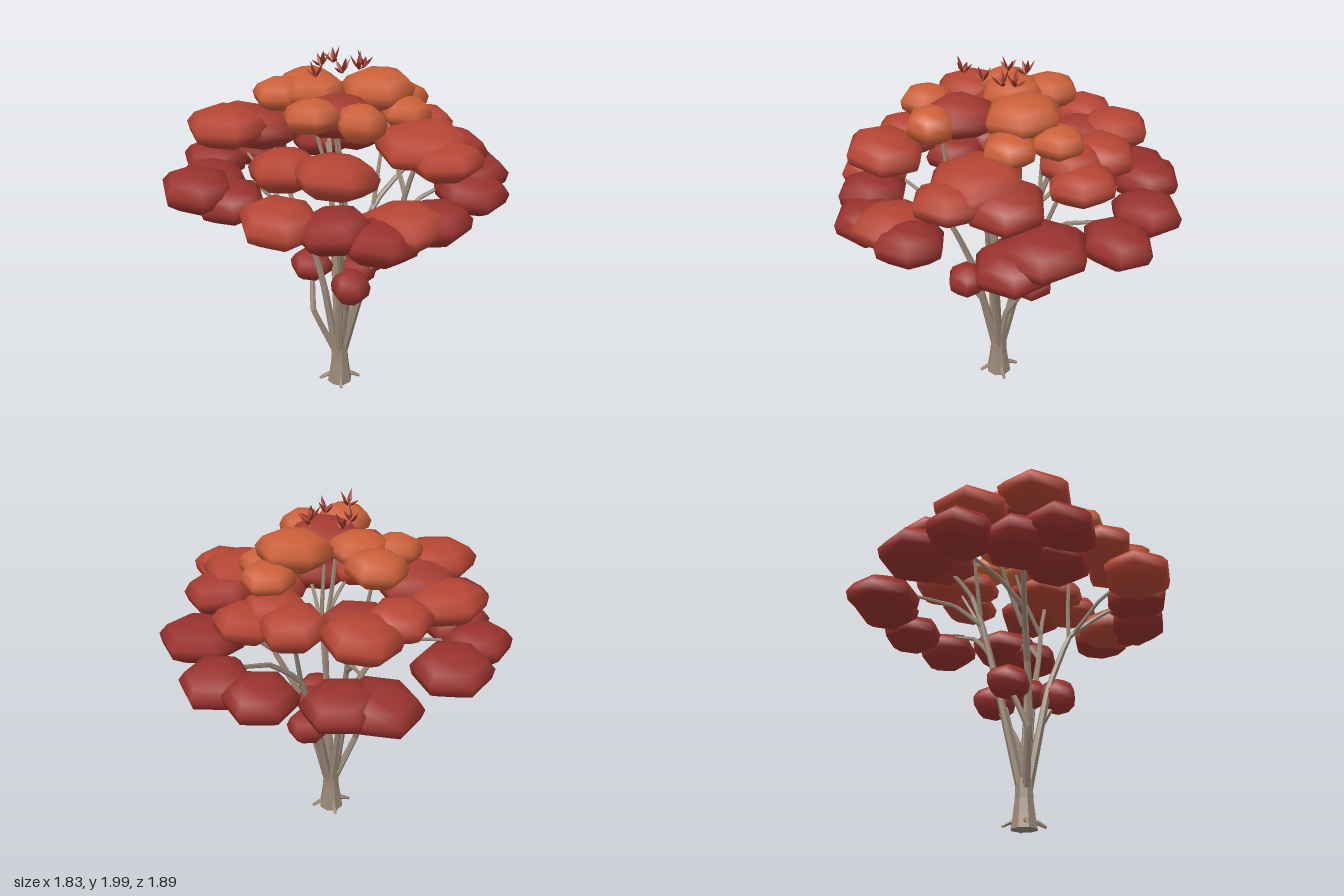
import * as THREE from 'three';

const bark = new THREE.MeshStandardMaterial({ color: 0x9a8878, side: THREE.DoubleSide, flatShading: true });
const sprigRed = new THREE.MeshStandardMaterial({ color: 0x9a3628, flatShading: true });
const leafColors = { dark: 0x99322d, red: 0xa43a31, warm: 0xb54534, orange: 0xcb6039 };
const leaf = {};
for (const k in leafColors) leaf[k] = new THREE.MeshStandardMaterial({ color: leafColors[k] });

const V = (p) => new THREE.Vector3(...p);
const profile = (points) => points.map((p) => new THREE.Vector2(...p));

// Six-sided rounded clump, shared by the whole canopy
const clumpGeometry = new THREE.LatheGeometry(
  profile([[0, -1], [0.6, -0.88], [0.94, -0.42], [1, 0.1], [0.8, 0.6], [0.44, 0.9], [0, 1]]), 6);

// Rows are x, y, z, radius, half height
function tier(name, material, rows) {
  const g = new THREE.Group();
  g.name = name;
  for (const [x, y, z, r, h] of rows) {
    const m = new THREE.Mesh(clumpGeometry, material);
    m.name = 'leafClump';
    m.position.set(x, y, z);
    m.scale.set(r, h, r);
    m.rotation.set(0.1 * Math.sin(x * 40), 0.08 * Math.sin(x * 25 + z * 30), 0.1 * Math.sin(z * 40));
    g.add(m);
  }
  return g;
}

// Tapered tube with nearly straight runs between its points
function limb(name, points, r0, r1) {
  const n = 14, sides = 6;
  const curve = new THREE.CatmullRomCurve3(points.map(V), false, 'catmullrom', 0.1);
  const geo = new THREE.TubeGeometry(curve, n, 1, sides);
  const pos = geo.attributes.position, v = new THREE.Vector3();
  for (let i = 0; i <= n; i++) {
    const c = curve.getPointAt(i / n), r = r0 + (r1 - r0) * (i / n);
    for (let j = 0; j <= sides; j++) {
      const k = i * (sides + 1) + j;
      v.fromBufferAttribute(pos, k).sub(c).multiplyScalar(r).add(c);
      pos.setXYZ(k, v.x, v.y, v.z);
    }
  }
  const m = new THREE.Mesh(geo, bark);
  m.name = name;
  return m;
}

export function createModel() {
  const tree = new THREE.Group();
  tree.name = 'tree';

  // Trunk with small root spurs
  const trunk = new THREE.Mesh(new THREE.LatheGeometry(
    profile([[0, 0.005], [0.074, 0.005], [0.062, 0.08], [0.052, 0.16], [0.047, 0.27], [0, 0.28]]), 8), bark);
  trunk.name = 'trunk';
  trunk.position.set(0.01, 0, 0.05);
  tree.add(trunk);
  for (let i = 0; i < 4; i++) {
    const a = 0.2 + (i * Math.PI) / 2, c = Math.cos(a), s = Math.sin(a);
    tree.add(limb('root', [[0.01 + c * 0.03, 0.055, 0.05 + s * 0.03], [0.01 + c * 0.08, 0.038, 0.05 + s * 0.08],
      [0.01 + c * 0.12, 0.018, 0.05 + s * 0.115]], 0.017, 0.008));
  }

  // Main branches fanning out of the trunk
  const branches = [
    [[-0.01, 0.22, 0.05], [-0.08, 0.65, 0.05], [-0.13, 0.88, 0.02], [-0.23, 1.08, -0.03], [-0.42, 1.28, -0.1]],
    [[0.01, 0.22, 0.03], [0.02, 0.75, -0.09], [0.03, 1.15, -0.19], [0.05, 1.35, -0.26], [0.07, 1.55, -0.45]],
    [[0.03, 0.22, 0.04], [0.13, 0.7, -0.02], [0.25, 1.08, -0.08], [0.43, 1.25, -0.12], [0.6, 1.33, -0.2]],
    [[0.03, 0.22, 0.06], [0.14, 0.78, 0.15], [0.27, 1.1, 0.24], [0.31, 1.32, 0.27], [0.36, 1.56, 0.33]],
    [[0, 0.22, 0.07], [-0.03, 0.78, 0.18], [-0.06, 1.1, 0.3], [-0.1, 1.25, 0.48], [-0.12, 1.32, 0.6]],
    [[0.01, 0.22, 0.05], [0.02, 0.85, 0.08], [0.03, 1.25, 0.07], [0.0, 1.5, 0.05], [-0.02, 1.72, 0.04]],
  ];
  branches.forEach((b) => tree.add(limb('branch', b, 0.026, 0.011)));

  // Lower branches and thin twigs
  const lowBranches = [
    [[-0.02, 0.22, 0.05], [-0.14, 0.5, 0.02], [-0.12, 0.72, -0.07]],
    [[0.04, 0.24, 0.05], [0.09, 0.5, 0.04], [0.18, 0.72, -0.05]],
    [[0.01, 0.24, 0.06], [0.02, 0.55, 0.14], [0.01, 0.72, 0.23]],
  ];
  lowBranches.forEach((t) => tree.add(limb('lowBranch', t, 0.022, 0.015)));
  const twigs = [
    [[-0.21, 1.05, -0.03], [-0.24, 1.25, -0.12], [-0.32, 1.55, -0.25]],
    [[-0.28, 1.13, -0.05], [-0.33, 1.25, -0.2], [-0.4, 1.34, -0.42]],
    [[0.03, 1.14, -0.19], [0.07, 1.26, -0.34], [0.12, 1.32, -0.62]],
    [[0.03, 1.2, -0.2], [-0.03, 1.45, -0.25], [-0.07, 1.72, -0.28]],
    [[0.25, 1.08, -0.08], [0.3, 1.3, -0.14], [0.38, 1.55, -0.25]],
    [[0.27, 1.1, 0.24], [0.4, 1.23, 0.23], [0.62, 1.32, 0.22]],
    [[0.3, 1.28, 0.26], [0.27, 1.5, 0.14], [0.24, 1.76, 0.05]],
    [[-0.06, 1.1, 0.3], [-0.06, 1.3, 0.3], [-0.1, 1.7, 0.32]],
    [[-0.07, 1.13, 0.33], [-0.22, 1.27, 0.42], [-0.4, 1.37, 0.54]],
  ];
  twigs.forEach((t) => tree.add(limb('twig', t, 0.014, 0.008)));

  // Small cluster low among the branches
  tree.add(tier('lowCluster', leaf.dark, [
    [-0.12, 0.755, -0.08, 0.125, 0.085], [0.01, 0.76, 0.25, 0.11, 0.095],
    [0.2, 0.755, -0.06, 0.125, 0.09], [0.09, 0.785, 0.11, 0.11, 0.08]]));

  // Broad bottom tier
  tree.add(tier('bottomTierOuter', leaf.dark, [
    [-0.32, 1.31, -0.64, 0.21, 0.105], [0.14, 1.29, -0.74, 0.21, 0.105], [0.32, 1.32, -0.69, 0.19, 0.1],
    [0.62, 1.32, -0.47, 0.185, 0.1], [0.75, 1.29, -0.21, 0.185, 0.1], [0.69, 1.33, 0.17, 0.23, 0.105],
    [0.66, 1.27, 0.31, 0.2, 0.1], [0.29, 1.3, 0.67, 0.185, 0.1], [-0.02, 1.28, 0.75, 0.195, 0.1],
    [-0.21, 1.33, 0.67, 0.19, 0.1], [-0.74, 1.32, -0.02, 0.2, 0.105], [-0.58, 1.25, 0.02, 0.19, 0.1],
    [-0.63, 1.29, -0.2, 0.19, 0.105], [-0.58, 1.31, -0.48, 0.185, 0.1]]));
  tree.add(tier('bottomTierInner', leaf.warm, [
    [-0.44, 1.35, 0.56, 0.2, 0.1], [0.12, 1.3, 0.67, 0.23, 0.11]]));

  // Middle tier
  tree.add(tier('middleTierShade', leaf.red, [
    [-0.37, 1.58, -0.17, 0.22, 0.11], [0.08, 1.54, -0.41, 0.2, 0.1], [0.53, 1.52, 0.28, 0.2, 0.1],
    [-0.06, 1.73, 0.23, 0.2, 0.1]]));
  tree.add(tier('middleTier', leaf.warm, [
    [-0.43, 1.54, -0.38, 0.22, 0.1], [-0.56, 1.63, -0.08, 0.215, 0.1], [-0.07, 1.59, -0.53, 0.17, 0.09],
    [0.15, 1.57, -0.57, 0.2, 0.1], [0.39, 1.57, -0.34, 0.175, 0.1], [0.4, 1.58, -0.15, 0.17, 0.09],
    [0.54, 1.53, -0.13, 0.18, 0.09], [0.35, 1.58, 0.34, 0.25, 0.1], [-0.18, 1.56, 0.59, 0.21, 0.1],
    [-0.37, 1.54, 0.39, 0.18, 0.1], [0.41, 1.54, 0.51, 0.185, 0.09]]));

  // Crown
  tree.add(tier('crown', leaf.orange, [
    [-0.07, 1.76, -0.3, 0.16, 0.085], [-0.27, 1.76, -0.14, 0.14, 0.08], [-0.09, 1.78, -0.09, 0.17, 0.085],
    [0.22, 1.79, 0.02, 0.2, 0.1], [0.4, 1.71, -0.07, 0.14, 0.075], [0.33, 1.69, 0.15, 0.14, 0.08],
    [-0.22, 1.77, 0.33, 0.145, 0.08], [0, 1.74, 0.41, 0.13, 0.09]]));

  // Leafy sprigs above the crown
  const blade = new THREE.LatheGeometry(profile([[0, 0], [0.014, 0.04], [0.009, 0.065], [0, 0.095]]), 4);
  [[-0.06, -0.05], [0.02, -0.11], [0.1, 0.07], [0.14, 0.02], [-0.15, 0.16], [0, 0.12]].forEach(([x, z], s) => {
    const sprig = new THREE.Group();
    sprig.name = 'sprig';
    for (let i = 0; i < 4; i++) {
      const m = new THREE.Mesh(blade, sprigRed);
      m.name = 'blade';
      m.rotation.set(0.35 + 0.2 * i, s * 1.3 + i * 1.65, 0, 'YXZ');
      m.scale.set(1, 1 - 0.08 * i, 0.5);
      sprig.add(m);
    }
    sprig.position.set(x, 1.905, z);
    tree.add(sprig);
  });

  return tree;
}
